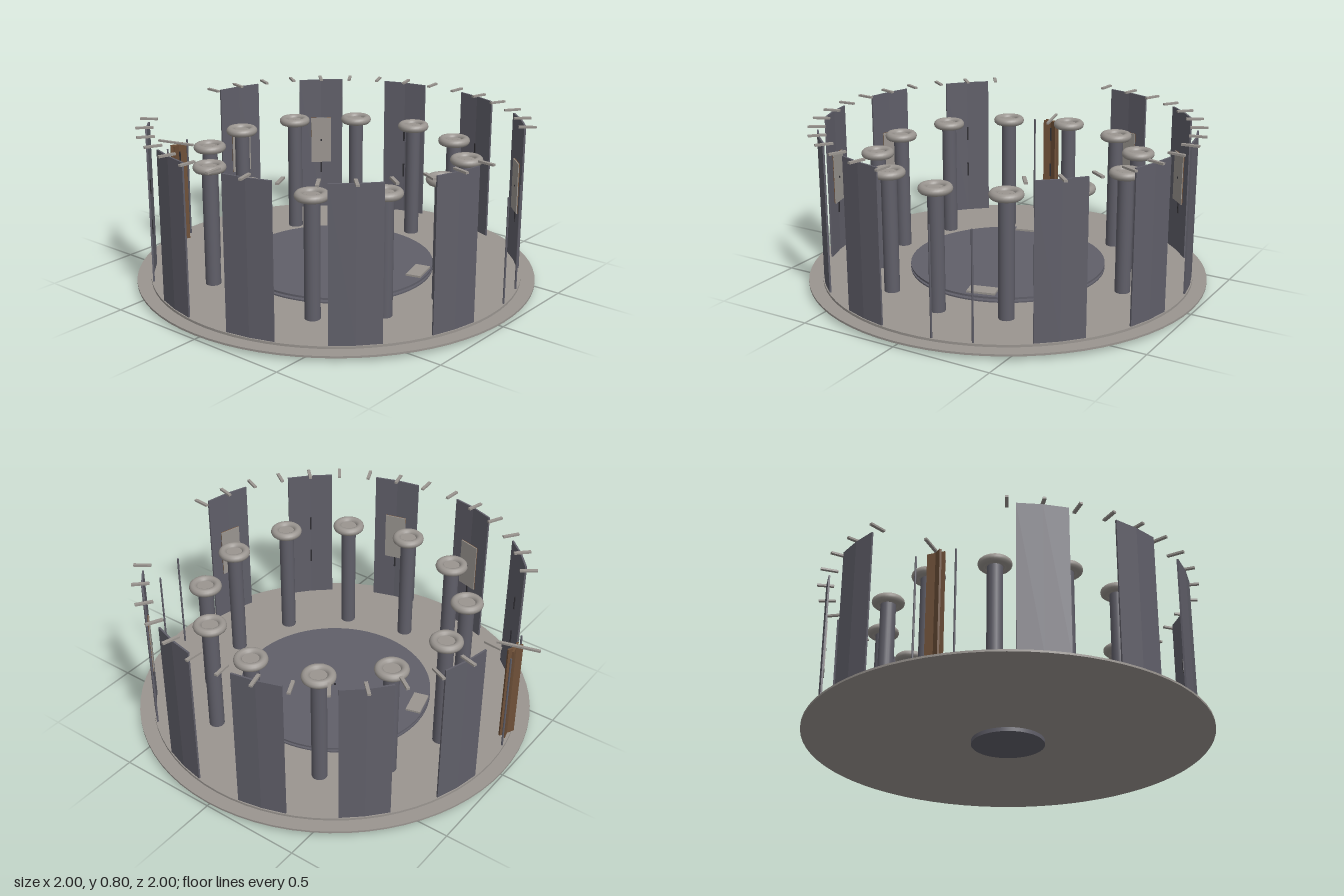
import * as THREE from 'three';

const mat = (name, color) => Object.assign(new THREE.MeshStandardMaterial({ color }), { name });
const RAD = Math.PI / 180;

export function createModel() {
  const stone = mat('pale stone', 0x9a9590);
  const slate = mat('slate', 0x605f69);
  const wood = mat('brown wood', 0x6e5038);
  const dark = mat('dark slot', 0x2e2d32);
  const model = new THREE.Group();
  model.name = 'pavilion';

  const add = (parent, name, geometry, material, x = 0, y = 0, z = 0) => {
    const mesh = new THREE.Mesh(geometry, material);
    mesh.name = name;
    mesh.position.set(x, y, z);
    parent.add(mesh);
    return mesh;
  };
  // Group turned about the centre so its +z points outward
  const spoke = (name, deg) => {
    const g = new THREE.Group();
    g.name = name;
    g.rotation.y = deg * RAD;
    model.add(g);
    return g;
  };
  const disc = (name, r, y0, y1, material) =>
    add(model, name, new THREE.CylinderGeometry(r, r, y1 - y0, 72), material, 0, (y0 + y1) / 2, 0);

  // Stacked base and turntable
  disc('hub', 0.18, 0, 0.022, slate);
  disc('base', 1, 0.02, 0.03, stone);
  disc('floor', 0.93, 0.03, 0.042, stone);
  disc('turntableSpindle', 0.1, 0.042, 0.07, slate);
  disc('turntableLower', 0.49, 0.05, 0.057, slate);
  disc('turntableTop', 0.49, 0.068, 0.078, slate);
  disc('centrePin', 0.006, 0.078, 0.082, dark);

  // Two benches on the turntable
  for (const deg of [15, 195]) {
    const bench = spoke('bench', deg);
    add(bench, 'benchSeat', new THREE.BoxGeometry(0.14, 0.01, 0.075), stone, 0, 0.09, 0.445);
    add(bench, 'benchFoot', new THREE.BoxGeometry(0.1, 0.01, 0.04), stone, 0, 0.081, 0.445);
  }

  // Ring of twelve columns with rounded capitals
  const shaft = new THREE.CylinderGeometry(0.038, 0.038, 0.585, 20);
  const ring = new THREE.TorusGeometry(0.06, 0.021, 12, 32).rotateX(Math.PI / 2);
  const cap = new THREE.CylinderGeometry(0.05, 0.05, 0.02, 24);
  for (let i = 0; i < 12; i++) {
    const column = spoke('column', i * 30);
    add(column, 'columnShaft', shaft, slate, 0, 0.334, 0.642);
    add(column, 'columnRing', ring, stone, 0, 0.639, 0.642);
    add(column, 'columnCap', cap, stone, 0, 0.634, 0.642);
  }

  // Wall panel: two flat faces meeting at a vertical crease
  const outline = new THREE.Shape([
    [0.925, -7.5], [0.925, 0], [0.925, 7.5], [0.916, 7.5], [0.916, 0], [0.916, -7.5],
  ].map(([r, a]) => new THREE.Vector2(r * Math.sin(a * RAD), -r * Math.cos(a * RAD))));
  const panelGeometry = new THREE.ExtrudeGeometry(outline, { depth: 0.748, bevelEnabled: false });
  panelGeometry.rotateX(-Math.PI / 2);

  const slot = new THREE.BoxGeometry(0.008, 0.075, 0.006);
  const plate = new THREE.BoxGeometry(0.113, 0.26, 0.005);
  const peg = new THREE.BoxGeometry(0.016, 0.01, 0.086);
  const jamb = new THREE.CylinderGeometry(0.005, 0.005, 0.53, 8);
  const plated = [165, 135, 45, 345, 285, 255];

  for (let deg = 15; deg < 360; deg += 30) {
    if (deg === 15 || deg === 195) {
      // Entrances with slim jambs
      for (const side of [-6, 6]) {
        add(spoke('entrance', deg + side), 'jamb', jamb, slate, 0, 0.307, 0.92);
      }
      continue;
    }
    const wall = spoke('wall', deg);
    add(wall, 'panel', panelGeometry, slate, 0, 0.042, 0);
    add(wall, 'lowerSlot', slot, dark, 0, 0.285, 0.914);
    if (plated.includes(deg)) {
      add(wall, 'plateBacking', plate, wood, 0, 0.442, 0.911);
      add(wall, 'plate', plate, stone, 0, 0.442, 0.907);
      add(wall, 'platePin', new THREE.BoxGeometry(0.01, 0.01, 0.004), dark, 0, 0.442, 0.904);
    } else {
      add(wall, 'upperSlot', slot, dark, 0, 0.495, 0.914);
    }
    // Radial pegs along the top
    for (const offset of [-10, 0, 10]) {
      add(spoke('crown', deg + offset), 'peg', peg, stone, 0, 0.795, 0.928);
    }
  }

  // Turning door of two crossed leaves under a long bar
  const gate = spoke('gate', 195);
  const leaf = new THREE.BoxGeometry(0.085, 0.53, 0.01);
  add(gate, 'doorLeaf', leaf, wood, 0, 0.307, 0.91);
  add(gate, 'doorLeafCrossed', leaf, wood, 0, 0.307, 0.91).rotation.y = -40 * RAD;
  for (const y of [0.285, 0.495]) add(gate, 'doorSlot', slot, dark, 0, y, 0.903);
  add(gate, 'doorBar', new THREE.BoxGeometry(0.014, 0.01, 0.21), stone, 0, 0.579, 0.925);

  return model;
}
